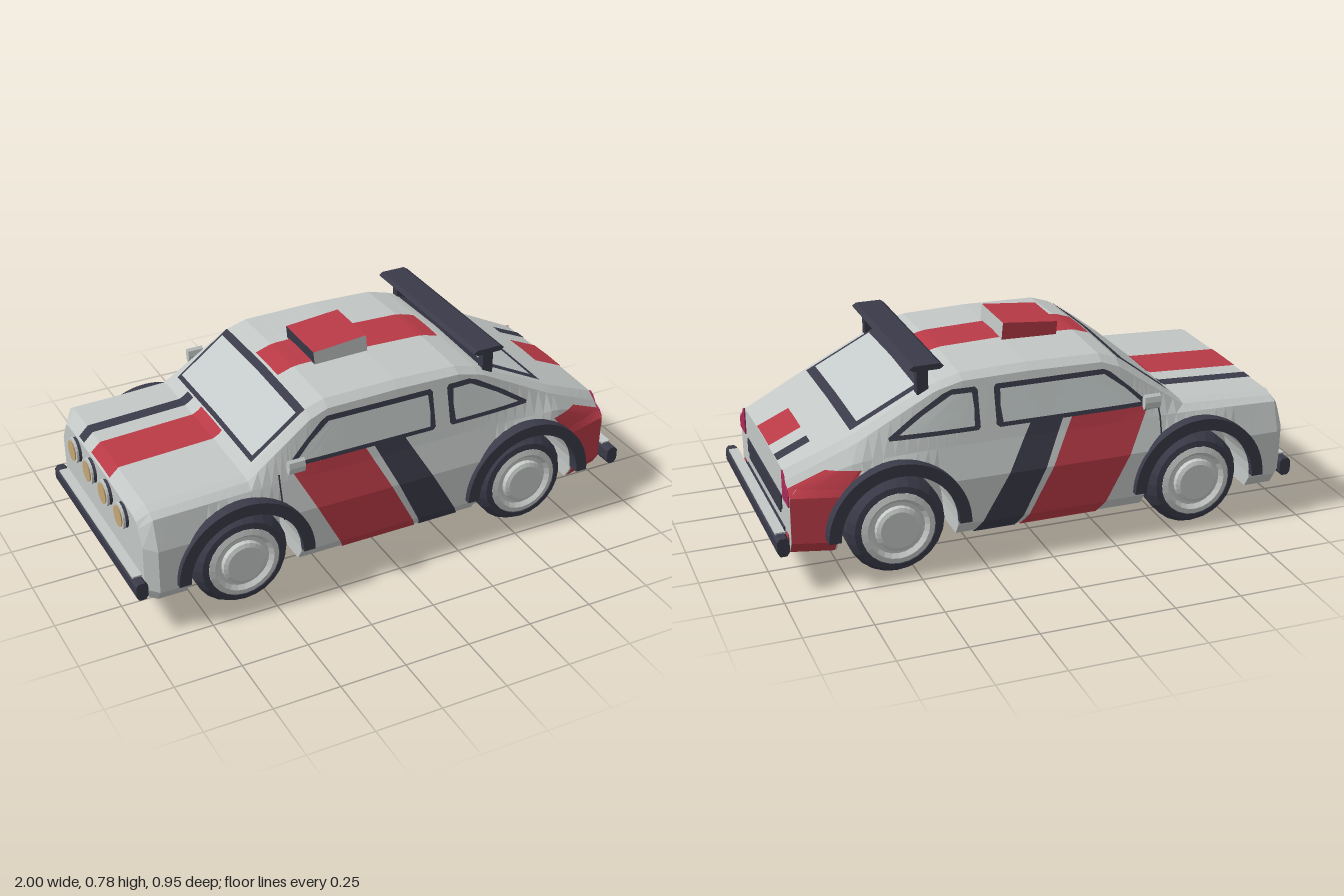
import * as THREE from 'three';

const mat = (name, color) => { const m = new THREE.MeshStandardMaterial({ color }); m.name = name; return m; };

// Body stations: x, max half-width, shoulder y, roof edge y, z, roof bend y, z, centre y
const KEYS = [
  [-0.96, 0.41, 0.40, 0.42, 0.36, 0.43, 0.33, 0.44],
  [-0.92, 0.455, 0.45, 0.465, 0.39, 0.474, 0.35, 0.476],
  [-0.55, 0.455, 0.46, 0.482, 0.39, 0.49, 0.355, 0.495],
  [-0.30, 0.455, 0.46, 0.655, 0.372, 0.68, 0.335, 0.69],
  [-0.23, 0.455, 0.46, 0.68, 0.368, 0.703, 0.335, 0.713],
  [0.05, 0.455, 0.46, 0.685, 0.368, 0.708, 0.335, 0.72],
  [0.30, 0.455, 0.46, 0.68, 0.368, 0.70, 0.335, 0.712],
  [0.40, 0.455, 0.46, 0.655, 0.368, 0.672, 0.335, 0.682],
  [0.70, 0.455, 0.45, 0.50, 0.375, 0.52, 0.335, 0.525],
  [0.94, 0.39, 0.365, 0.385, 0.335, 0.41, 0.30, 0.418],
];
const AXLES = [-0.595, 0.565], WHEEL_Y = 0.182, ARCH = 0.217, FLOOR = 0.12;

// Half cross-section as [y, z] from floor centre to roof centre; a = arch height
function section(x, a = 0) {
  let i = 0;
  while (i < KEYS.length - 2 && x > KEYS[i + 1][0]) i++;
  const t = THREE.MathUtils.clamp((x - KEYS[i][0]) / (KEYS[i + 1][0] - KEYS[i][0]), 0, 1);
  const [, w, sh, ey, ez, by, bz, cy] = KEYS[i].map((v, k) => v + (KEYS[i + 1][k] - v) * t);
  return [[FLOOR, 0], [FLOOR, 0.27], [Math.max(FLOOR, a), 0.27], [Math.max(FLOOR, a), w - 0.035],
    [Math.max(0.165, a), w - 0.005], [Math.max(0.34, a), w], [sh, w - 0.035], [ey, ez], [by, bz], [cy, 0]];
}

// Walk part of the section to find the side's z at a height, or the top's y at a z
function lookup(pts, key, val) {
  for (let i = 0; i < pts.length - 1; i++) {
    const p = pts[i], q = pts[i + 1];
    if ((val - p[key]) * (val - q[key]) <= 0 && p[key] !== q[key])
      return p[1 - key] + (q[1 - key] - p[1 - key]) * (val - p[key]) / (q[key] - p[key]);
  }
  return pts[pts.length - 1][1 - key];
}
const sideZ = (x, y) => lookup(section(x).slice(3, 8), 0, y);
const topY = (x, z) => lookup(section(x).slice(7), 1, Math.abs(z));

function triangles(list) {
  const g = new THREE.BufferGeometry();
  g.setAttribute('position', new THREE.Float32BufferAttribute(list.flat(), 3));
  g.computeVertexNormals();
  return g;
}

// Flat-shaded grid whose front follows u cross v
function grid(nu, nv, f) {
  const out = [];
  for (let i = 0; i < nu; i++) for (let j = 0; j < nv; j++) {
    const a = f(i, j), b = f(i + 1, j), c = f(i + 1, j + 1), d = f(i, j + 1);
    out.push(a, b, c, a, c, d);
  }
  return triangles(out);
}

function flat(g) {
  const n = g.index ? g.toNonIndexed() : g;
  n.computeVertexNormals();
  return n;
}

function bodyGeometry() {
  const st = [];
  for (let x = -0.96; x < 0.94; x += 0.05) st.push([x, 0]);
  KEYS.forEach(k => st.push([k[0], 0]));
  const outside = st.filter(([x]) => AXLES.every(c => Math.abs(x - c) > ARCH));
  for (const c of AXLES) {
    outside.push([c - ARCH, 0], [c + ARCH, 0.0001]);
    for (let i = 0; i <= 16; i++) {
      const t = Math.PI * (1 - i / 16);
      outside.push([c + ARCH * Math.cos(t) * 0.9999, WHEEL_Y + ARCH * Math.sin(t)]);
    }
  }
  outside.sort((p, q) => p[0] - q[0]);
  const rings = outside.map(([x, a]) => {
    const h = section(x, a);
    return [...h.map(([y, z]) => [x, y, z]), ...h.slice(0, -1).reverse().map(([y, z]) => [x, y, -z])];
  });
  const n = rings[0].length, out = [];
  for (let i = 0; i < rings.length - 1; i++) for (let j = 0; j < n - 1; j++) {
    const a = rings[i][j], b = rings[i + 1][j], c = rings[i + 1][j + 1], d = rings[i][j + 1];
    out.push(a, b, c, a, c, d);
  }
  // nose and tail faces
  const first = rings[0], last = rings[rings.length - 1];
  for (let j = 0; j < n - 1; j++) {
    out.push([-0.96, 0.28, 0], first[j], first[j + 1]);
    out.push([0.94, 0.28, 0], last[j + 1], last[j]);
  }
  return triangles(out);
}

export function createModel() {
  const car = new THREE.Group();
  car.name = 'rallyCar';
  const paint = mat('body paint', 0xc2c7c5), glass = mat('window glass', 0xc3cac9), red = mat('red stripe', 0xb83a46),
    dark = mat('dark trim', 0x3a3a49), rimMat = mat('wheel metal', 0xc6cac7), lens = mat('lamp lens', 0xc4a676),
    tail = mat('tail light', 0xa82c57);

  const add = (name, geo, m, x = 0, y = 0, z = 0, parent = car) => {
    const mesh = new THREE.Mesh(geo, m);
    mesh.name = name;
    mesh.position.set(x, y, z);
    parent.add(mesh);
    return mesh;
  };
  const box = (name, m, sx, sy, sz, x, y, z) => add(name, new THREE.BoxGeometry(sx, sy, sz), m, x, y, z);

  // Painted panel on both flanks, given rows of [y, x0, x1]
  const flank = (name, m, rows, off = 0.004, n = 14) => {
    for (const s of [1, -1]) add(name, grid(n, rows.length - 1, (i, j) => {
      const [y, x0, x1] = rows[j], u = s > 0 ? i / n : 1 - i / n, x = x0 + (x1 - x0) * u;
      return [x, y, s * (sideZ(x, y) + off)];
    }), m);
  };
  // Painted panel on the upper surface
  const upper = (name, m, x0, x1, z0, z1, off = 0.004) => {
    const n = 24, k = 12;
    add(name, grid(k, n, (i, j) => {
      const z = z0 + (z1 - z0) * i / k, x = x0 + (x1 - x0) * j / n;
      return [x, topY(x, z) + off, z];
    }), m);
  };

  add('body', bodyGeometry(), paint);

  // Diagonal door stripes, continued across the floor
  const slant = (t0, t1, b0, b1) => [0.12, 0.165, 0.25, 0.34, 0.40, 0.46, 0.505].map(y => {
    const t = (y - 0.12) / 0.385;
    return [y, b0 + (t0 - b0) * t, b1 + (t1 - b1) * t];
  });
  flank('redDoorStripe', red, slant(-0.40, -0.10, -0.20, 0.10));
  flank('darkDoorStripe', dark, slant(-0.065, 0.06, 0.12, 0.28));
  flank('rearCornerPanel', red, [[0.12, 0.79, 0.94], [0.165, 0.787, 0.94], [0.185, 0.785, 0.94], [0.26, 0.772, 0.94],
    [0.34, 0.75, 0.94], [0.365, 0.735, 0.94], [0.425, 0.69, 0.81]]);
  flank('doorGap', dark, [[0.33, -0.448, -0.442], [0.46, -0.448, -0.442], [0.49, -0.446, -0.44]]);
  box('redFloorStripe', red, 0.30, 0.006, 0.84, -0.05, 0.118, 0);
  box('darkFloorStripe', dark, 0.16, 0.006, 0.84, 0.20, 0.118, 0);
  box('redFloorPanel', red, 0.15, 0.006, 0.70, 0.863, 0.118, 0);

  // Side windows: dark frame with glass over it
  flank('doorWindowFrame', dark, [[0.505, -0.40, 0.175], [0.515, -0.405, 0.187], [0.58, -0.335, 0.187], [0.645, -0.26, 0.187], [0.657, -0.235, 0.178]]);
  flank('doorWindow', glass, [[0.522, -0.375, 0.162], [0.58, -0.315, 0.168], [0.64, -0.235, 0.165]], 0.008);
  flank('quarterWindowFrame', dark, [[0.505, 0.255, 0.58], [0.515, 0.247, 0.583], [0.58, 0.247, 0.485], [0.645, 0.247, 0.375], [0.657, 0.256, 0.34]]);
  flank('quarterWindow', glass, [[0.522, 0.27, 0.545], [0.58, 0.266, 0.455], [0.64, 0.27, 0.345]], 0.008);

  // Front and rear screens
  upper('windscreenFrame', dark, -0.515, -0.305, -0.338, 0.338, 0.005);
  upper('windscreen', glass, -0.503, -0.332, -0.322, 0.322, 0.01);
  upper('rearScreenFrame', dark, 0.415, 0.695, -0.31, 0.31, 0.005);
  upper('rearScreen', glass, 0.45, 0.665, -0.287, 0.287, 0.01);

  // Stripes along bonnet, roof and boot
  upper('bonnetStripe', red, -0.955, -0.52, -0.095, 0.095);
  upper('roofStripe', red, -0.295, 0.37, -0.095, 0.095);
  upper('bootStripe', red, 0.82, 0.94, -0.095, 0.095);
  upper('bonnetThinStripe', dark, -0.955, -0.52, -0.225, -0.172);
  upper('bootThinStripe', dark, 0.82, 0.94, -0.225, -0.172);

  // Roof vent
  box('roofVent', [paint, dark, red, paint, paint, red], 0.215, 0.07, 0.23, -0.05, 0.736, 0).rotation.z = 0.09;

  // Rear wing
  const foil = new THREE.Shape([[0.365, 0.745], [0.38, 0.735], [0.475, 0.735], [0.492, 0.745], [0.475, 0.756], [0.38, 0.756]]
    .map(p => new THREE.Vector2(...p)));
  add('rearWing', new THREE.ExtrudeGeometry(foil, { depth: 0.73, bevelEnabled: false }), dark, 0, 0, -0.365);

  for (const s of [1, -1]) {
    box('wingStrut', dark, 0.042, 0.10, 0.033, 0.438, 0.69, s * 0.328);

    // Door mirrors
    box('mirrorArm', dark, 0.02, 0.014, 0.07, -0.395, 0.503, s * 0.425).rotation.x = -s * 0.5;
    add('mirror', flat(new THREE.CylinderGeometry(0.014, 0.014, 0.062, 8).rotateZ(Math.PI / 2).scale(1, 2.1, 1)), paint, -0.395, 0.537, s * 0.453);

    // Tail lights
    const pts = [[0.30, 0.305], [0.388, 0.305], [0.383, 0.345], [0.37, 0.362], [0.34, 0.376], [0.32, 0.402], [0.30, 0.412]];
    const shape = new THREE.Shape(pts.map(([z, y]) => new THREE.Vector2(-s * z, y)));
    add('tailLight', new THREE.ExtrudeGeometry(shape, { depth: 0.006, bevelEnabled: false }).rotateY(Math.PI / 2), tail, 0.939, 0, 0);
  }

  // Tail panels
  box('tailBand', dark, 0.006, 0.055, 0.54, 0.941, 0.274, 0);
  box('tailBandLower', dark, 0.006, 0.022, 0.50, 0.941, 0.237, 0);
  box('rearValance', dark, 0.006, 0.05, 0.65, 0.941, 0.14, 0);
  for (const s of [1, -1]) box('rearValanceCorner', red, 0.006, 0.06, 0.03, 0.941, 0.155, s * 0.34);

  // Bumpers with a bright top strip
  const bar = new THREE.Shape([[-0.022, -0.02], [-0.012, -0.036], [0.012, -0.036], [0.022, -0.02], [0.022, 0.02], [0.012, 0.032], [-0.012, 0.032], [-0.022, 0.02]]
    .map(p => new THREE.Vector2(...p)));
  for (const [name, x] of [['frontBumper', -0.978], ['rearBumper', 0.978]]) {
    add(name, new THREE.ExtrudeGeometry(bar, { depth: 0.86, bevelEnabled: false }), dark, x, 0.178, -0.43);
    box(name + 'Strip', paint, 0.036, 0.008, 0.77, x, 0.211, 0);
    box(name + 'Mount', dark, 0.03, 0.03, 0.6, x * 0.975, 0.175, 0);
  }

  // Row of driving lamps on the nose
  const disc = (r0, r1, h) => flat(new THREE.CylinderGeometry(r0, r1, h, 16).rotateZ(Math.PI / 2));
  for (const z of [-0.24, -0.08, 0.08, 0.24]) {
    add('lampCase', disc(0.042, 0.05, 0.02), dark, -0.965, 0.38, z);
    add('lampRim', disc(0.05, 0.05, 0.008), rimMat, -0.976, 0.38, z);
    add('lampLens', disc(0.04, 0.036, 0.008), lens, -0.981, 0.38, z);
  }

  // Wheels and arch flares
  const lathe = pts => flat(new THREE.LatheGeometry(pts.map(p => new THREE.Vector2(...p)), 24).rotateX(Math.PI / 2));
  const tyre = lathe([[0, 0.295], [0.14, 0.295], [0.165, 0.30], [0.182, 0.325], [0.182, 0.40], [0.16, 0.434], [0.138, 0.438], [0.132, 0.42]]);
  const rim = lathe([[0.136, 0.415], [0.136, 0.436], [0.115, 0.442], [0.10, 0.428], [0.086, 0.428], [0.084, 0.445], [0.07, 0.452], [0, 0.452]]);
  const ring = new THREE.Shape();
  ring.absarc(0, 0, 0.262, 0, Math.PI, false);
  ring.absarc(0, 0, ARCH, Math.PI, 0, true);
  const flare = new THREE.ExtrudeGeometry(ring, { depth: 0.055, bevelEnabled: false, curveSegments: 16 });
  for (const x of AXLES) for (const s of [1, -1]) {
    const wheel = new THREE.Group();
    wheel.name = 'wheel';
    wheel.position.set(x, WHEEL_Y, 0);
    wheel.rotation.y = s > 0 ? 0 : Math.PI;
    add('tyre', tyre, dark, 0, 0, 0, wheel);
    add('rim', rim, rimMat, 0, 0, 0, wheel);
    car.add(wheel);
    add('archFlare', flare, dark, x, WHEEL_Y, s > 0 ? 0.42 : -0.475);
  }
  return car;
}
